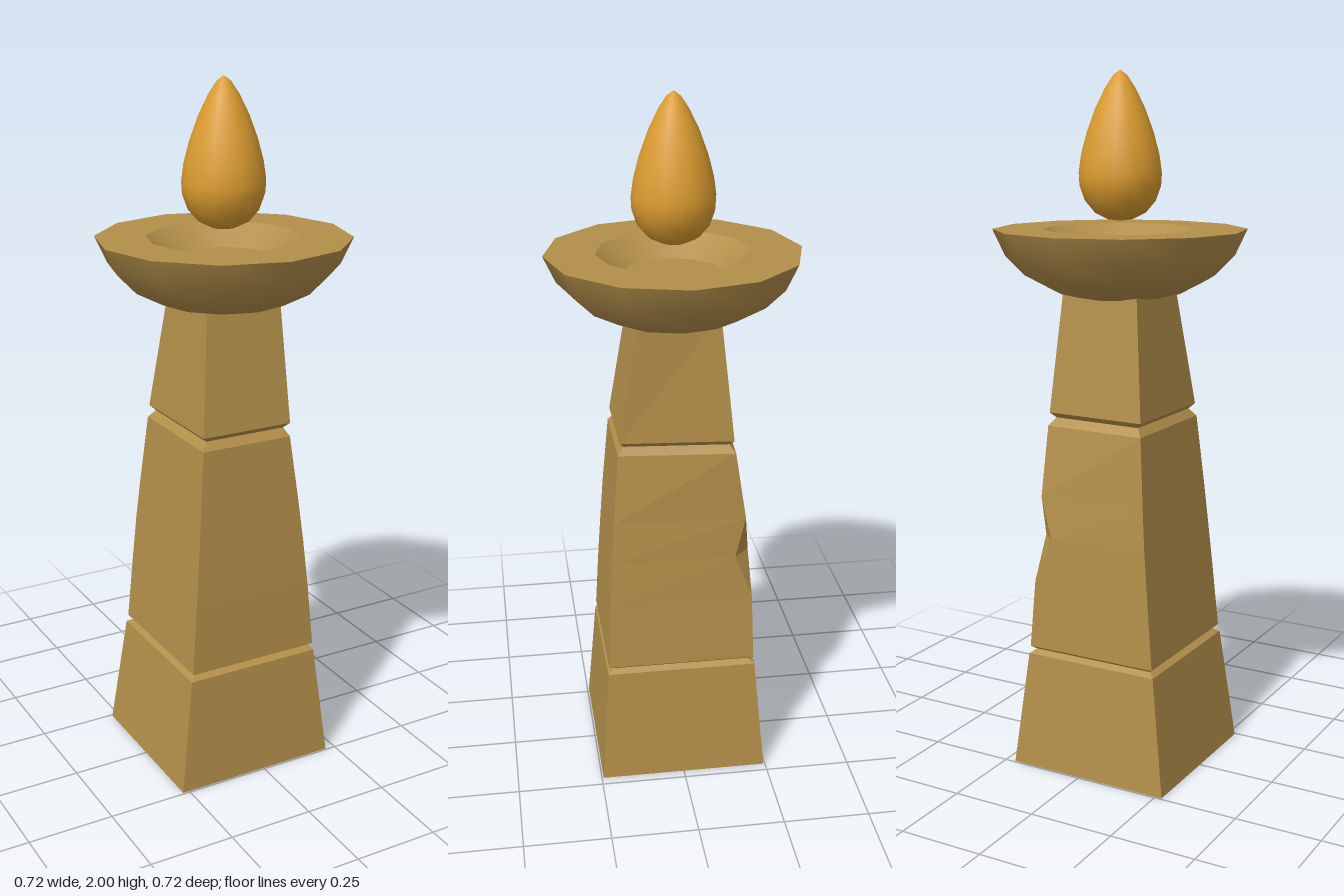
import * as THREE from 'three';

const stone = new THREE.MeshStandardMaterial({ color: 0xb38f4a });
stone.name = 'sandstone';
const amber = new THREE.MeshStandardMaterial({ color: 0xdb9c2f });
amber.name = 'amber flame';

// Worn pillar levels: y, left x, front right x, back right x,
// front z, back right z, back left z, chip on the back right corner
const levels = [
  [0.0, -0.27, 0.22, 0.22, 0.245, -0.245, -0.245, 0],
  [0.338, -0.225, 0.183, 0.183, 0.22, -0.217, -0.217, 0],
  [0.35, -0.208, 0.167, 0.167, 0.203, -0.2, -0.2, 0],
  [0.36, -0.22, 0.18, 0.18, 0.218, -0.214, -0.214, 0],
  [0.56, -0.202, 0.165, 0.165, 0.208, -0.208, -0.208, 0],
  [0.69, -0.19, 0.153, 0.157, 0.2, -0.203, -0.203, 0.045],
  [0.81, -0.179, 0.14, 0.153, 0.192, -0.188, -0.193, 0],
  [1.012, -0.16, 0.117, 0.147, 0.175, -0.157, -0.172, 0],
  [1.035, -0.142, 0.105, 0.13, 0.157, -0.14, -0.153, 0],
  [1.05, -0.157, 0.12, 0.145, 0.17, -0.152, -0.167, 0],
  [1.41, -0.115, 0.114, 0.117, 0.115, -0.115, -0.115, 0],
];

// Faceted solid through the five-cornered levels
function pillarGeometry() {
  const rings = levels.map(([y, xl, xf, xb, zf, zr, zl, chip]) => [
    [xf, zf], [xb, zr + chip], [xb - chip, zr], [xl, zl], [xl, zf],
  ].map(([x, z]) => new THREE.Vector3(x, y, z)));
  const points = [];
  const tri = (a, b, c) => {
    const area = b.clone().sub(a).cross(c.clone().sub(a)).length();
    if (area > 1e-7) points.push(a, b, c);
  };
  for (let i = 0; i < rings.length - 1; i++) {
    for (let j = 0; j < 5; j++) {
      const k = (j + 1) % 5;
      const [lo, hi] = [rings[i], rings[i + 1]];
      tri(lo[j], lo[k], hi[k]);
      tri(lo[j], hi[k], hi[j]);
    }
  }
  const bottom = rings[0];
  const top = rings[rings.length - 1];
  for (let j = 1; j < 4; j++) {
    tri(bottom[0], bottom[j + 1], bottom[j]);
    tri(top[0], top[j], top[j + 1]);
  }
  const geometry = new THREE.BufferGeometry().setFromPoints(points);
  geometry.computeVertexNormals();
  return geometry;
}

const lathe = (profile, sides) =>
  new THREE.LatheGeometry(profile.map(([r, y]) => new THREE.Vector2(r, y)), sides);

export function createModel() {
  const model = new THREE.Group();
  model.name = 'flameLamp';
  const add = (name, geometry, material, parent = model) => {
    const mesh = new THREE.Mesh(geometry, material);
    mesh.name = name;
    parent.add(mesh);
  };

  add('pillar', pillarGeometry(), stone);

  // Twelve-sided bowl, in separate bands so the rim edges stay sharp
  const bowl = new THREE.Group();
  bowl.name = 'bowl';
  model.add(bowl);
  add('bowlOutside', lathe([[0, 1.363], [0.1, 1.37], [0.19, 1.392], [0.27, 1.434],
    [0.325, 1.49], [0.36, 1.565]], 12), stone, bowl);
  add('bowlRim', lathe([[0.36, 1.565], [0.217, 1.565]], 12), stone, bowl);
  add('bowlWell', lathe([[0.217, 1.565], [0.139, 1.505]], 12), stone, bowl);
  add('bowlFloor', lathe([[0.139, 1.505], [0, 1.505]], 12), stone, bowl);

  // Floating teardrop flame
  add('flame', lathe([[0, 1.587], [0.035, 1.592], [0.072, 1.61], [0.1, 1.643],
    [0.115, 1.685], [0.117, 1.72], [0.11, 1.77], [0.094, 1.83], [0.07, 1.895],
    [0.043, 1.95], [0.02, 1.985], [0, 2]], 16), amber);

  return model;
}
